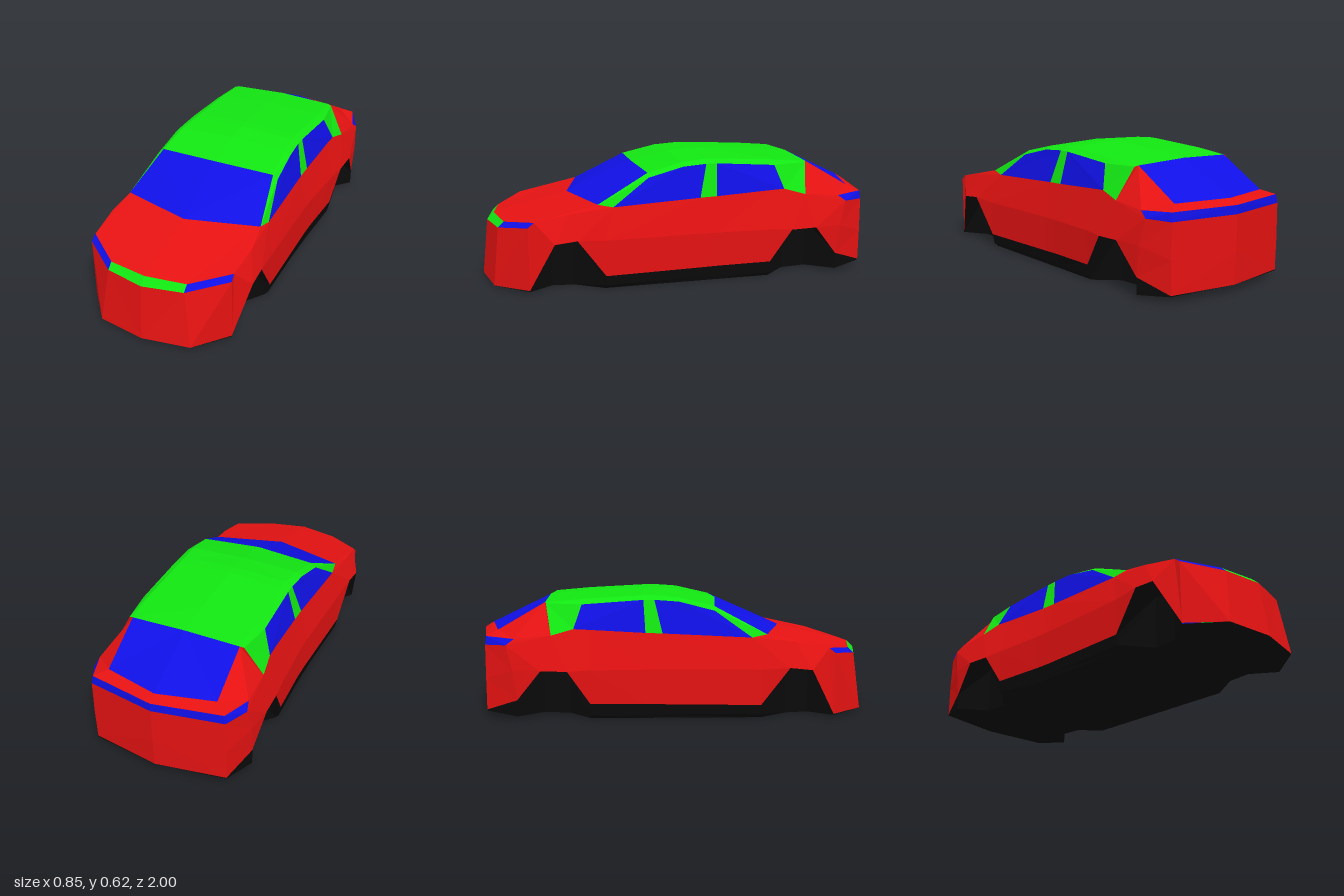
import * as THREE from 'three';

const mat = (name, color) => {
  const m = new THREE.MeshStandardMaterial({ color, flatShading: true, side: THREE.DoubleSide });
  m.name = name;
  return m;
};

export function createModel() {
  const car = new THREE.Group();
  car.name = 'car';
  const red = mat('red paint', 0xe61212);
  const green = mat('green trim', 0x12e612);
  const blue = mat('blue glass', 0x1010e6);
  const black = mat('black underside', 0x0a0a0a);

  // Fan of triangles over a corner loop, and quads between two matching rows
  const fan = (...p) => p.slice(2).map((_, i) => [p[0], p[i + 1], p[i + 2]]);
  const strip = (a, b) => a.slice(1).flatMap((_, i) => fan(a[i], a[i + 1], b[i + 1], b[i]));
  // Makes a mesh from left-side triangles plus their mirror image
  const panel = (name, material, ...tris) => {
    const pos = [];
    for (const [a, b, c] of tris.flat()) {
      pos.push(...a, ...b, ...c);
      for (const [x, y, z] of [a, c, b]) pos.push(-x, y, z);
    }
    const g = new THREE.BufferGeometry();
    g.setAttribute('position', new THREE.Float32BufferAttribute(pos, 3));
    g.computeVertexNormals();
    const mesh = new THREE.Mesh(g, material);
    mesh.name = name;
    car.add(mesh);
  };

  // Lower body edge, front to back, with both wheel arches
  const lower = [
    [0.375, 0.015, 0.8], [0.425, 0.25, 0.68], [0.42, 0.26, 0.57], [0.405, 0.07, 0.43],
    [0.39, 0.073, -0.06], [0.39, 0.075, -0.145], [0.402, 0.08, -0.42], [0.42, 0.245, -0.53],
    [0.425, 0.25, -0.66], [0.405, 0.1, -0.78], [0.345, 0.04, -0.94], [0, 0.04, -0.995],
  ];
  // Widest line along the side
  const waist = lower.map((p) => p);
  [[3, 0.41, 0.25, 0.43], [4, 0.395, 0.25, -0.06], [5, 0.396, 0.25, -0.145], [6, 0.41, 0.25, -0.42],
    [9, 0.41, 0.25, -0.8], [10, 0.348, 0.2, -0.94], [11, 0, 0.2, -1]].forEach(([i, ...p]) => { waist[i] = p; });
  // Belt line from headlight tip to tail
  const belt = [
    [0.375, 0.327, 0.8], [0.372, 0.352, 0.77], [0.382, 0.385, 0.6], [0.372, 0.405, 0.385],
    [0.358, 0.425, -0.06], [0.358, 0.428, -0.145], [0.365, 0.445, -0.42], [0.37, 0.45, -0.5],
    [0.385, 0.42, -0.61], [0.39, 0.405, -0.79], [0.338, 0.412, -0.935], [0, 0.412, -0.998],
  ];
  const lampLow = belt.map((p) => p);
  lampLow[9] = [0.4, 0.375, -0.83];
  lampLow[10] = [0.345, 0.37, -0.94];
  lampLow[11] = [0, 0.37, -1];

  // Nose, windscreen and rear window rows, centre to left
  const noseLow = [[0, 0.015, 1], [0.24, 0.015, 0.96], lower[0]];
  const noseMid = [[0, 0.295, 0.97], [0.2, 0.297, 0.93], belt[0]];
  const noseTop = [[0, 0.33, 0.935], [0.2, 0.325, 0.9], belt[1]];
  const screen = [[0, 0.42, 0.56], [0.2, 0.42, 0.505], [0.362, 0.42, 0.46]];
  const tailCorner = [0.28, 0.435, -0.885], tailMid = [0, 0.438, -0.955];

  // Roof stations: centre, roof edge, top of side glass
  const roof = [
    [[0, 0.567, 0.22], [0.31, 0.555, 0.2], [0.335, 0.535, 0.2]],
    [[0, 0.61, 0.02], [0.295, 0.598, 0.02], [0.326, 0.58, 0.02]],
    [[0, 0.62, -0.1], [0.282, 0.608, -0.1], [0.32, 0.588, -0.1]],
    [[0, 0.62, -0.155], [0.282, 0.607, -0.155], [0.32, 0.588, -0.155]],
    [[0, 0.602, -0.46], [0.29, 0.59, -0.46], [0.326, 0.567, -0.46]],
    [[0, 0.585, -0.65], [0.28, 0.575, -0.645], [0.3, 0.57, -0.64]],
  ];
  const glassTop = roof.map((r) => r[2]);
  const roofEnd = roof[5][1];

  // Red bodywork
  panel('frontBumper', red, strip(noseLow, noseMid));
  panel('hood', red, strip(noseTop, screen));
  panel('fenders', red, fan(belt[1], belt[2], screen[2]), fan(belt[2], belt[3], screen[2]));
  panel('bodySides', red, strip(lower, waist), strip(waist, lampLow),
    fan(lampLow[8], lampLow[9], belt[9]));
  panel('rearDeck', red, fan(belt[8], belt[9], roofEnd, glassTop[5]), fan(belt[9], tailCorner, roofEnd),
    fan(belt[9], belt[10], tailCorner), fan(belt[10], belt[11], tailMid, tailCorner));

  // Green roof, pillars and grille
  panel('roof', green, roof.slice(1).flatMap((r, i) => strip(roof[i], r)));
  panel('frontPillars', green, fan(screen[2], belt[3], glassTop[0], roof[0][1]));
  panel('middlePillars', green, fan(belt[4], belt[5], glassTop[3], glassTop[2]));
  panel('rearPillars', green, fan(belt[7], belt[8], glassTop[5], glassTop[4]));
  panel('grille', green, strip(noseMid.slice(0, 2), noseTop.slice(0, 2)));

  // Blue windows and lamps
  panel('windscreen', blue, fan(screen[0], screen[1], screen[2], roof[0][1], roof[0][0]));
  panel('rearWindow', blue, fan(tailCorner, tailMid, roof[5][0], roofEnd));
  panel('frontSideWindows', blue, fan(belt[3], belt[4], glassTop[2], glassTop[1], glassTop[0]));
  panel('rearSideWindows', blue, fan(glassTop[3], belt[5], belt[6], belt[7], glassTop[4]));
  panel('headlights', blue, strip(noseMid.slice(1), noseTop.slice(1)));
  panel('tailLights', blue, strip(lampLow.slice(9), belt.slice(9)));

  // Black wheel wells, sills and floor; the wells step in at the arches
  const isArch = (i) => [1, 2, 7, 8].includes(i);
  const isSill = (i) => i > 2 && i < 7;
  const inner = lower.map(([x, y, z], i) => (isArch(i) ? [0.28, y, z] : isSill(i) ? [x - 0.01, 0.02, z] : [x, y, z]));
  const floorY = [0.01, 0.005, 0, 0, 0, 0, 0, 0.005, 0.01, 0.018, 0.035, 0.04];
  const edge = inner.map(([x, , z], i) => [isSill(i) ? 0.375 : x, floorY[i], z]);
  const keel = edge.map(([, y, z]) => [0, y, z]);
  panel('wheelWells', black, strip(inner, lower), strip(edge, inner));
  panel('floor', black, strip(keel, edge),
    fan(noseLow[0], keel[0], edge[0], noseLow[1]));

  return car;
}
